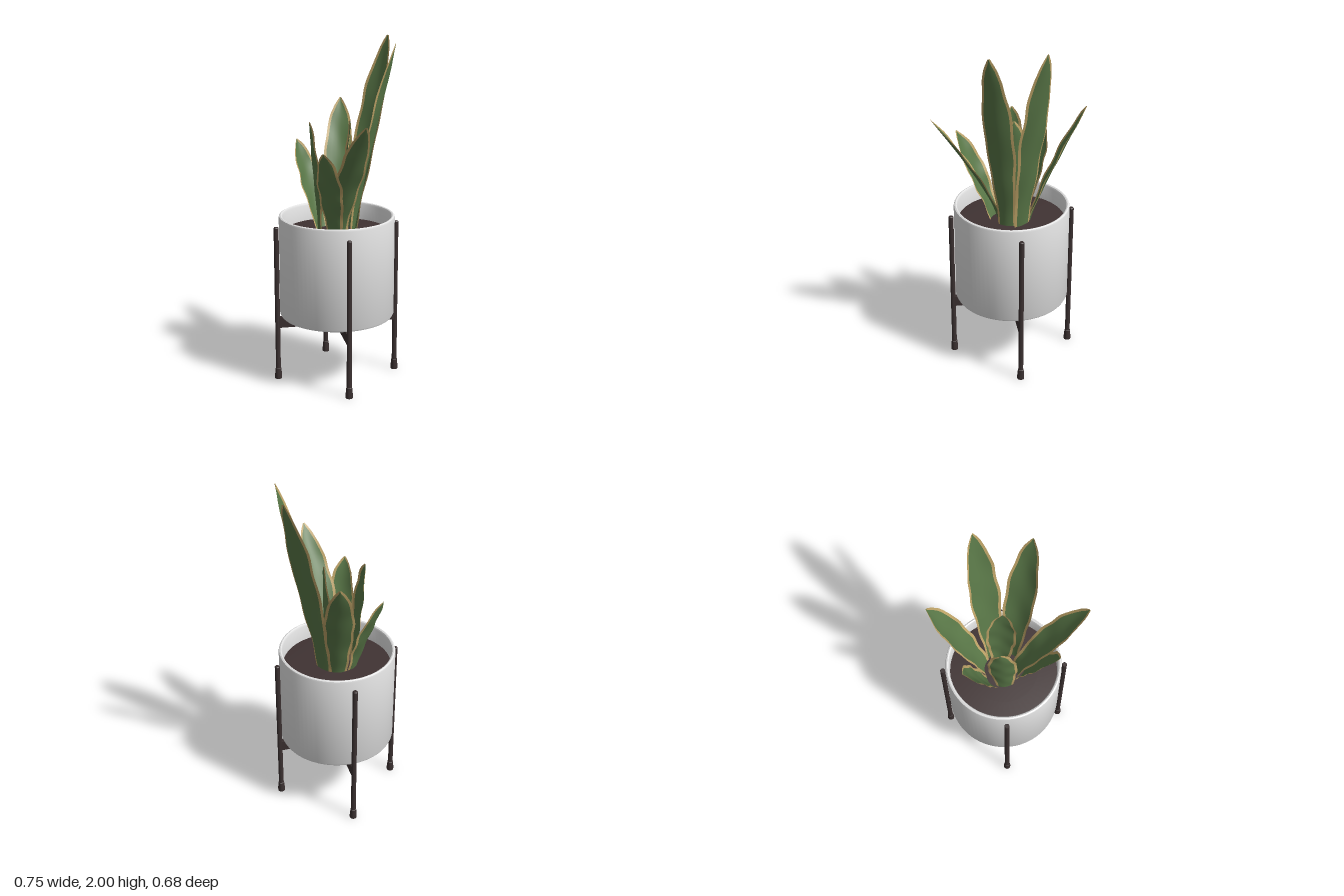
import * as THREE from 'three';
import { toCreasedNormals } from 'three/addons/utils/BufferGeometryUtils.js';

const CX = -0.045, CZ = 0.004; // pot axis

function material(name, color, side = THREE.FrontSide) {
  const m = new THREE.MeshStandardMaterial({ color, side });
  m.name = name;
  return m;
}

function lathe(points, segments) {
  const profile = points.map(([r, y]) => new THREE.Vector2(r, y));
  return toCreasedNormals(new THREE.LatheGeometry(profile, segments), 0.6);
}

// Relative half width of a blade along its length
const BLADE = [[0, 0.58], [0.2, 0.72], [0.4, 0.92], [0.58, 1], [0.74, 0.9], [0.87, 0.66], [0.95, 0.38], [1, 0.06]];
function bladeWidth(t) {
  let i = 1;
  while (i < BLADE.length - 1 && BLADE[i][0] < t) i++;
  const [a, b] = [BLADE[i - 1], BLADE[i]];
  return THREE.MathUtils.lerp(a[1], b[1], (t - a[0]) / (b[0] - a[0]));
}

// Channelled blade; group 0 is the green centre, group 1 the pale margins
function leafGeometry({ base, tip, across, half, bend }, seed) {
  const rows = 32, cols = 8, y0 = 0.87;
  const side = new THREE.Vector3(across[0], 0, across[1]).normalize();
  const out = new THREE.Vector3(-side.z, 0, side.x);
  if (out.x * (tip[0] - base[0]) + out.z * (tip[2] - base[1]) < 0) out.negate();
  const pos = [], centre = [], margin = [];
  for (let r = 0; r <= rows; r++) {
    const t = r / rows, lean = Math.pow(t, bend);
    const w = half * bladeWidth(t) * (1 + 0.035 * Math.sin(t * 27 + seed * 2));
    const e = Math.max(0, 1 - 0.014 / w);
    for (const u of [-1, -e, -e * 0.6, -e * 0.25, 0, e * 0.25, e * 0.6, e, 1]) {
      const ripple = 0.004 * u * Math.sin(t * 20 + seed + u);
      const d = u * w, cup = 0.022 * (0.35 - u * u) * (w / half) + ripple;
      pos.push(
        base[0] + (tip[0] - base[0]) * lean + side.x * d + out.x * cup,
        y0 + (tip[1] - y0) * t,
        base[1] + (tip[2] - base[1]) * lean + side.z * d + out.z * cup
      );
    }
  }
  for (let r = 0; r < rows; r++) {
    for (let c = 0; c < cols; c++) {
      const a = r * (cols + 1) + c, b = a + cols + 1;
      (c === 0 || c === cols - 1 ? margin : centre).push(a, a + 1, b, a + 1, b + 1, b);
    }
  }
  const g = new THREE.BufferGeometry();
  g.setAttribute('position', new THREE.Float32BufferAttribute(pos, 3));
  g.setIndex([...centre, ...margin]);
  g.addGroup(0, centre.length, 0);
  g.addGroup(centre.length, margin.length, 1);
  g.computeVertexNormals();
  return g;
}

// base [x, z], tip [x, y, z], across = width direction [x, z]
const LEAVES = [
  { base: [-0.03, -0.1], tip: [0.03, 2.0, -0.34], across: [1, 0.06], half: 0.092, bend: 1.15 },
  { base: [0.04, -0.045], tip: [0.262, 1.98, -0.145], across: [0.45, 0.9], half: 0.088, bend: 1.2 },
  { base: [-0.115, -0.07], tip: [-0.315, 1.61, -0.308], across: [0.75, -0.66], half: 0.085, bend: 1.2 },
  { base: [-0.15, 0.025], tip: [-0.342, 1.4, 0.035], across: [0.06, 1], half: 0.083, bend: 1.2 },
  { base: [-0.1, 0.09], tip: [-0.15, 1.53, 0.115], across: [0.82, 0.57], half: 0.082, bend: 1.2 },
  { base: [0.015, 0.085], tip: [0.125, 1.41, 0.283], across: [0.95, -0.25], half: 0.08, bend: 1.2 },
  { base: [0.01, 0.045], tip: [0.372, 1.575, 0.21], across: [-0.42, 0.9], half: 0.083, bend: 1.3 },
  { base: [-0.02, -0.06], tip: [0.0, 1.535, -0.06], across: [0.76, 0.65], half: 0.085, bend: 1.2 },
];

export function createModel() {
  const model = new THREE.Group();
  model.name = 'pottedPlant';
  const ceramic = material('white ceramic', 0xe2e2e2);
  const metal = material('dark metal', 0x3a3030);
  const earth = material('soil', 0x403333);
  const green = material('leaf green', 0x5a7848, THREE.DoubleSide);
  const cream = material('leaf margin', 0xbfa468, THREE.DoubleSide);

  const add = (name, geometry, mat, parent = model) => {
    const mesh = new THREE.Mesh(geometry, mat);
    mesh.name = name;
    parent.add(mesh);
    return mesh;
  };

  // Pot with a rounded rim, and the soil inside
  add('pot', lathe([
    [0, 0.388], [0.322, 0.388], [0.331, 0.392], [0.336, 0.402], [0.336, 0.978],
    [0.333, 0.987], [0.325, 0.991], [0.318, 0.988], [0.313, 0.978], [0.313, 0.86],
  ], 72), ceramic).position.set(CX, 0, CZ);
  add('soil', lathe([[0.314, 0.885], [0.2, 0.893], [0, 0.897]], 48), earth).position.set(CX, 0, CZ);

  // Stand: four legs on a circle joined by two crossed bars
  const stand = new THREE.Group();
  stand.name = 'stand';
  stand.position.set(CX, 0, CZ);
  stand.rotation.y = Math.atan2(0.293, 0.202);
  model.add(stand);
  const legGeometry = lathe([
    [0, 0], [0.021, 0], [0.021, 0.02], [0.017, 0.062], [0.0145, 0.064], [0.0145, 0.927], [0.011, 0.932], [0, 0.932],
  ], 20);
  for (let i = 0; i < 4; i++) {
    const a = i * Math.PI / 2;
    add('leg', legGeometry, metal, stand).position.set(0.355 * Math.cos(a), 0, 0.355 * Math.sin(a));
  }
  for (let i = 0; i < 2; i++) {
    const bar = add('crossBar', new THREE.BoxGeometry(0.7, 0.064, 0.026), metal, stand);
    bar.position.y = 0.353;
    bar.rotation.y = i * Math.PI / 2;
  }

  // Sword-shaped leaves
  const plant = new THREE.Group();
  plant.name = 'plant';
  model.add(plant);
  LEAVES.forEach((leaf, i) => add('leaf', leafGeometry(leaf, i), [green, cream], plant));

  return model;
}
